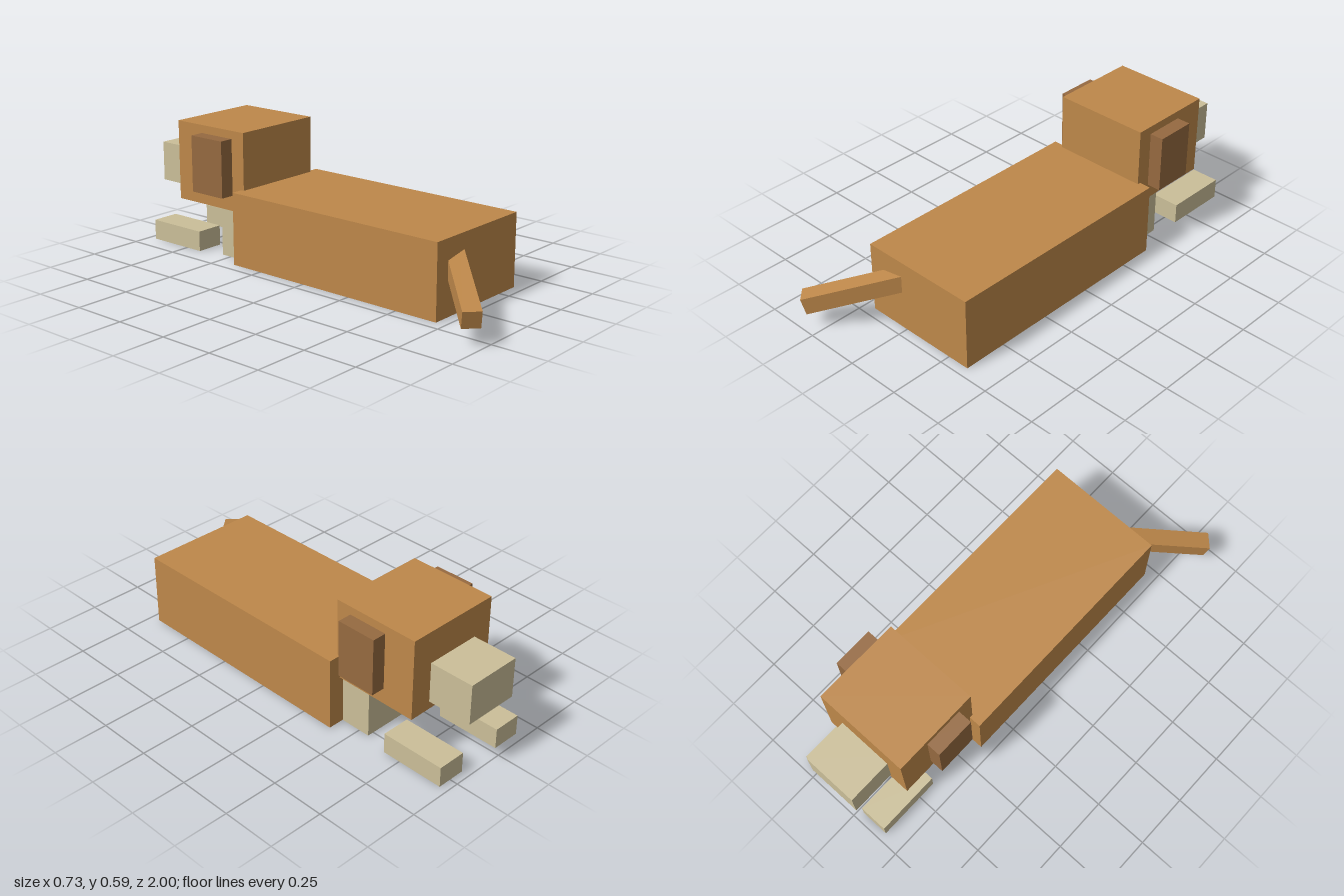
import * as THREE from 'three';

export function createModel() {
  const model = new THREE.Group();
  model.name = 'lyingDog';

  const material = (name, color) => {
    const m = new THREE.MeshStandardMaterial({ color });
    m.name = name;
    return m;
  };
  const tan = material('tan fur', 0xbe884a);
  const brown = material('brown ears', 0x966a40);
  const cream = material('cream fur', 0xcbbf99);

  // Box given by its [min, max] extent on each axis
  const block = (name, mat, [x0, x1], [y0, y1], [z0, z1]) => {
    const mesh = new THREE.Mesh(new THREE.BoxGeometry(x1 - x0, y1 - y0, z1 - z0), mat);
    mesh.position.set((x0 + x1) / 2, (y0 + y1) / 2, (z0 + z1) / 2);
    mesh.name = name;
    model.add(mesh);
    return mesh;
  };

  // Body, with the chest bib pushed into its front end
  block('body', tan, [-0.2, 0.355], [0.001, 0.333], [-0.405, 0.705]);
  block('chest', cream, [-0.125, 0.28], [0, 0.26], [-0.55, -0.32]);

  // Head and muzzle
  block('head', tan, [-0.145, 0.3], [0.227, 0.593], [-0.795, -0.39]);
  block('muzzle', cream, [-0.055, 0.2], [0.263, 0.446], [-1, -0.75]);

  // Ears and front paws, mirrored about the body's middle line
  const middle = 0.077;
  for (const [side, s] of [['left', 1], ['right', -1]]) {
    const span = (a, b) => [middle + s * a, middle + s * b].sort((p, q) => p - q);
    block(side + 'Ear', brown, span(0.2, 0.287), [0.298, 0.556], [-0.645, -0.46]);
    block(side + 'Paw', cream, span(0.103, 0.234), [0, 0.093], [-0.963, -0.667]);
  }

  // Tail, swung to one side and drooping; its pivot is the tip
  const length = 0.52;
  const tail = new THREE.Mesh(new THREE.BoxGeometry(0.077, 0.077, length), tan);
  tail.geometry.translate(0, 0, -length / 2);
  tail.rotation.set(Math.PI / 12, -Math.PI / 4, 0, 'YXZ');
  tail.position.set(-0.331, 0.1125, 0.964);
  tail.name = 'tail';
  model.add(tail);

  return model;
}
